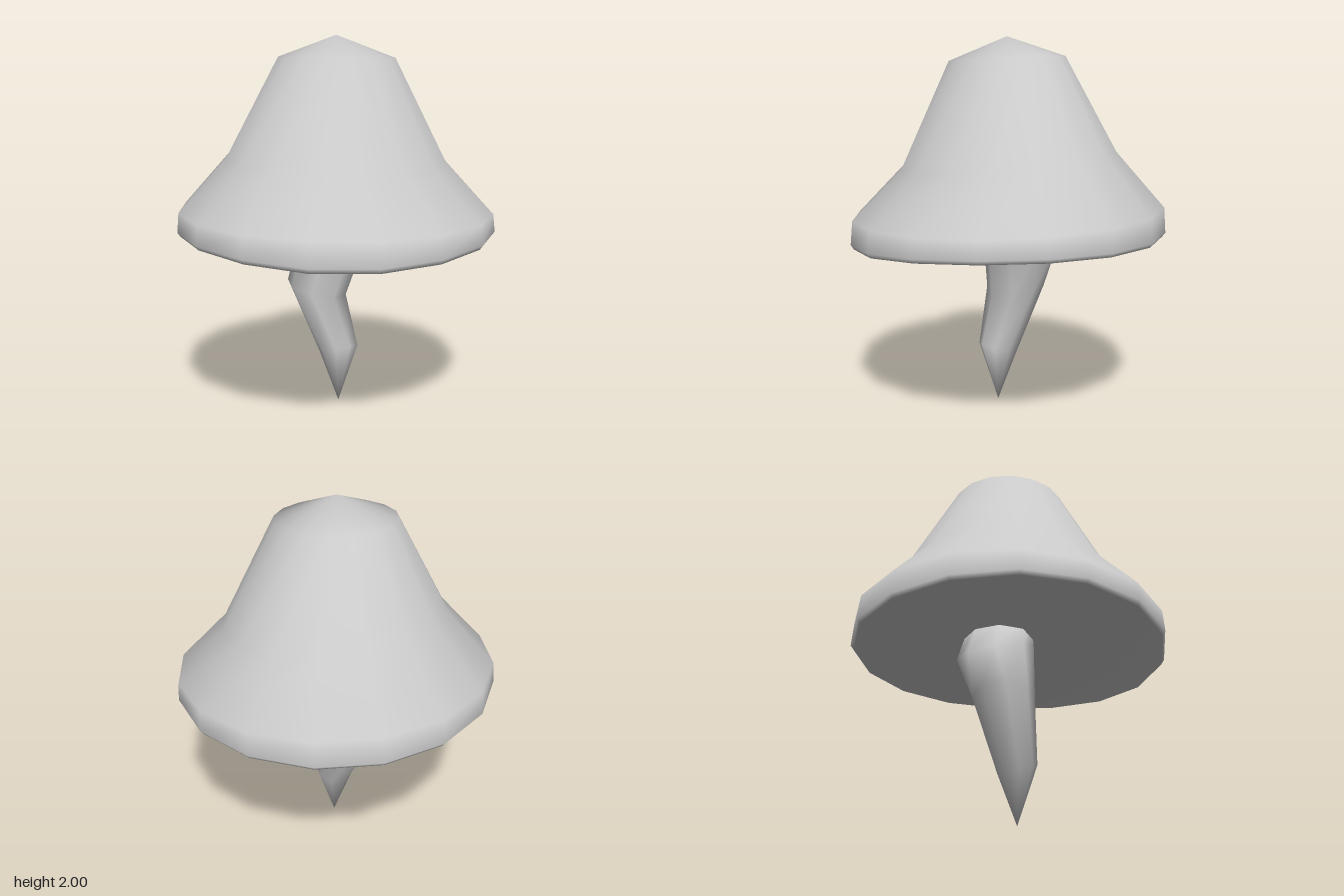
import * as THREE from 'three';
import { mergeVertices } from 'three/addons/utils/BufferGeometryUtils.js';

// Smooth skin over tilted elliptical rings, listed from the bottom up.
// Ring: [centre x, y, z, radius x, radius z, rise at +x, rise at +z, droop]
// Droop sags one side of the ring, strongest about 30 degrees from +x towards +z.
function loft(rings, sides) {
  const positions = [];
  const index = [];
  for (const [cx, cy, cz, rx, rz, riseX = 0, riseZ = 0, droop = 0] of rings) {
    for (let j = 0; j < sides; j++) {
      const a = (j / sides) * Math.PI * 2;
      const c = Math.cos(a), s = Math.sin(a);
      const sag = droop * ((1 + Math.cos(a - Math.PI / 6)) / 2) ** 4;
      positions.push(cx + rx * c, cy + riseX * c + riseZ * s - sag, cz + rz * s);
    }
  }
  for (let i = 0; i < rings.length - 1; i++) {
    for (let j = 0; j < sides; j++) {
      const k = (j + 1) % sides;
      const a = i * sides + j, b = i * sides + k;
      const c = a + sides, d = b + sides;
      if (rings[i][3] > 0) index.push(a, c, b);
      if (rings[i + 1][3] > 0) index.push(b, c, d);
    }
  }
  const geometry = new THREE.BufferGeometry();
  geometry.setAttribute('position', new THREE.Float32BufferAttribute(positions, 3));
  geometry.setIndex(index);
  const merged = mergeVertices(geometry, 1e-5); // welds the end points
  merged.computeVertexNormals();
  return merged;
}

export function createModel() {
  const group = new THREE.Group();
  group.name = 'mushroom';
  const material = new THREE.MeshStandardMaterial({ color: 0xcccccc });

  const add = (name, rings, sides) => {
    const mesh = new THREE.Mesh(loft(rings, sides), material);
    mesh.name = name;
    group.add(mesh);
  };

  // Bell-shaped cap: hollow underside, drooping rim, flared skirt, crown
  add('cap', [
    [0, 1.03, 0, 0, 0],
    [0, 1.018, 0, 0.64, 0.65, -0.01, 0, 0.02],
    [0.003, 0.957, -0.002, 0.826, 0.848, 0, 0.006, 0.074],
    [0.003, 0.978, -0.002, 0.842, 0.864, 0, 0.006, 0.07],
    [0.003, 1.075, -0.002, 0.83, 0.857, -0.037, -0.01],
    [0.003, 1.352, -0.002, 0.565, 0.61, -0.05, -0.017],
    [0.004, 1.883, 0, 0.31, 0.318, -0.012, -0.006],
    [0.003, 2, 0, 0, 0],
  ], 16);

  // Crooked stem tapering to a point, running up into the cap
  add('stem', [
    [0.048, 0, 0.02, 0, 0],
    [0.052, 0.295, 0.02, 0.102, 0.105, 0.035, 0],
    [-0.098, 0.625, 0.06, 0.16, 0.165, -0.035, 0.02],
    [-0.06, 0.935, -0.035, 0.213, 0.203, 0.07, 0],
    [-0.02, 1.1, -0.05, 0.18, 0.18, 0.06, 0],
    [-0.02, 1.1, -0.05, 0, 0],
  ], 8);

  return group;
}
